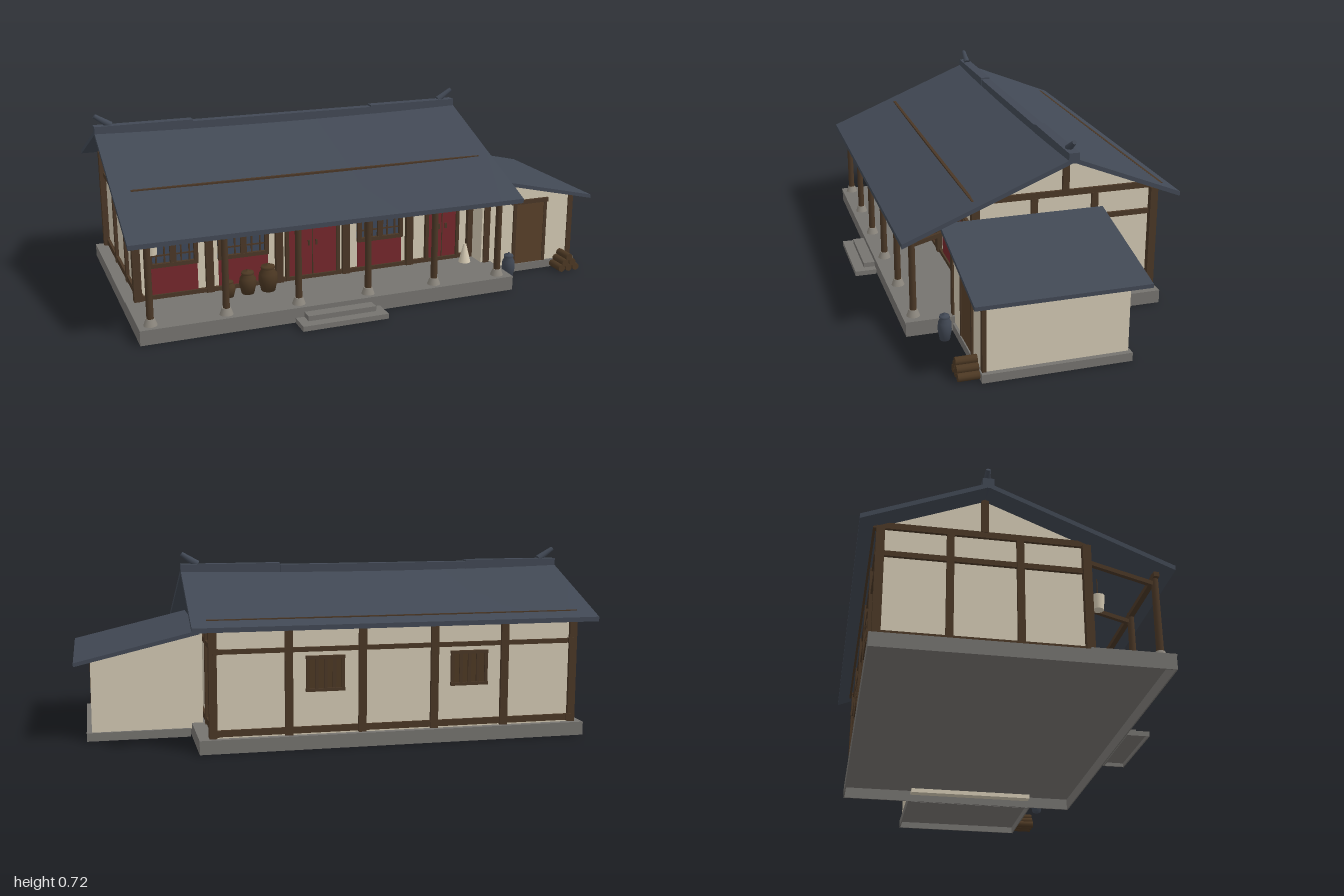
import * as THREE from 'three';

const mat = (name, color) => {
  const m = new THREE.MeshStandardMaterial({ color });
  m.name = name;
  return m;
};

export function createModel() {
  const root = new THREE.Group();
  root.name = 'farmhouse';
  const tile = mat('slate tile', 0x414854), plaster = mat('plaster', 0xd2c8b2);
  const timber = mat('dark timber', 0x4a3726), plank = mat('door plank', 0x573f29);
  const red = mat('red paint', 0x74272b), stone = mat('stone', 0x75736f);
  const pane = mat('window pane', 0x3d4757), clay = mat('clay', 0x4c3823);
  const cream = mat('straw', 0xd6cbb4), base = mat('column stone', 0x8c877e);

  const add = (name, geo, m, x = 0, y = 0, z = 0) => {
    const mesh = new THREE.Mesh(geo, m);
    mesh.name = name;
    mesh.position.set(x, y, z);
    root.add(mesh);
    return mesh;
  };
  // Box given by its limits
  const box = (name, m, x0, x1, y0, y1, z0, z1) =>
    add(name, new THREE.BoxGeometry(x1 - x0, y1 - y0, z1 - z0), m, (x0 + x1) / 2, (y0 + y1) / 2, (z0 + z1) / 2);
  const cyl = (name, m, r0, r1, h, x, y, z, n = 12) =>
    add(name, new THREE.CylinderGeometry(r1, r0, h, n), m, x, y + h / 2, z);
  // Flat polygon pushed out by a depth
  const prism = (pts, depth) => new THREE.ExtrudeGeometry(
    new THREE.Shape(pts.map(p => new THREE.Vector2(...p))), { depth, bevelEnabled: false });
  // Stone block open underneath: a top slab on thin kerbs
  const hollowBlock = (name, x0, x1, y0, y1, z0, z1) => {
    const t = 0.005;
    box(name + 'Top', stone, x0, x1, y1 - t, y1, z0, z1);
    for (const x of [x0, x1 - t]) box(name + 'Kerb', stone, x, x + t, y0, y1 - t, z0, z1);
    for (const z of [z0, z1 - t]) box(name + 'Kerb', stone, x0 + t, x1 - t, y0, y1 - t, z, z + t);
  };

  const postX = [-0.925, -0.641, -0.357, -0.072, 0.212, 0.497];
  const X0 = -0.915, X1 = 0.487;

  // Plinths and steps
  hollowBlock('plinth', -0.972, 0.55, 0, 0.053, -0.539, 0.495);
  box('verandaDeck', stone, -0.972, 0.55, 0.052, 0.059, 0.2, 0.498);
  hollowBlock('annexPlinth', 0.555, 0.957, 0, 0.033, -0.247, 0.315);
  hollowBlock('lowerStep', -0.385, -0.04, 0, 0.02, 0.498, 0.587);
  hollowBlock('upperStep', -0.35, -0.075, 0.02, 0.04, 0.498, 0.545);

  // Main walls with gables
  const body = prism([[-0.515, 0.05], [0.205, 0.05], [0.205, 0.495], [-0.15, 0.638], [-0.515, 0.491]], X1 - X0);
  body.rotateY(-Math.PI / 2).translate(X1, 0, 0);
  add('mainWalls', body, plaster);

  // Front and rear wall framing
  for (const x of postX) {
    box('frontPost', timber, x - 0.015, x + 0.015, 0.055, 0.48, 0.195, 0.225);
    box('rearPost', timber, x - 0.015, x + 0.015, 0.055, 0.48, -0.528, -0.498);
    // Veranda column, stone base and sloping tie
    cyl('column', timber, 0.0135, 0.0125, 0.305, x, 0.083, 0.455);
    cyl('columnBase', base, 0.027, 0.017, 0.028, x, 0.057, 0.455);
    const tie = box('verandaTie', timber, x - 0.008, x + 0.008, 0.374, 0.39, 0.21, 0.455);
    tie.rotation.x = 0.26;
  }
  const [A, B] = [X0 - 0.01, X1 + 0.01];
  for (const [y0, y1] of [[0.06, 0.085], [0.37, 0.388], [0.465, 0.482]])
    box('rearRail', timber, A, B, y0, y1, -0.523, -0.51);
  for (const [y0, y1] of [[0.058, 0.076], [0.36, 0.378], [0.46, 0.482]])
    box('frontRail', timber, A, B, y0, y1, 0.2, 0.218);
  box('eaveBeam', timber, -0.95, 0.53, 0.37, 0.388, 0.445, 0.465);

  // Gable framing on both ends
  for (const x of [X0, X1]) {
    const [a, b] = [x - 0.013, x + 0.013];
    for (const [y0, y1] of [[0.06, 0.085], [0.37, 0.39], [0.478, 0.502]])
      box('gableRail', timber, a + 0.002, b - 0.002, y0, y1, -0.53, 0.225);
    for (const z of [-0.27, -0.025])
      box('gablePost', timber, a, b, 0.055, 0.48, z - 0.013, z + 0.013);
    box('kingPost', timber, a, b, 0.5, 0.636, -0.163, -0.137);
  }

  // Main roof: each slope is a slab whose ridge sags a little mid-length
  const slope = (name, zEave, yEave) => {
    const g = new THREE.BoxGeometry(1.577, 0.018, 1, 12, 1, 1);
    const p = g.attributes.position;
    for (let i = 0; i < p.count; i++) {
      const eave = zEave > 0 ? p.getZ(i) > 0 : p.getZ(i) < 0;
      const sag = 0.012 * (1 - (p.getX(i) / 0.7885) ** 2);
      p.setY(i, p.getY(i) - 0.009 + (eave ? yEave : 0.655 - sag));
      p.setZ(i, eave ? zEave : -0.15);
    }
    g.computeVertexNormals();
    add(name, g, tile, -0.2115);
  };
  slope('frontRoof', 0.507, 0.388);
  slope('rearRoof', -0.588, 0.479);
  // Purlins just breaking the roof surface
  box('frontPurlin', timber, -0.93, 0.52, 0.475, 0.5045, 0.216, 0.228);
  box('rearPurlin', timber, -0.93, 0.52, 0.475, 0.502, -0.539, -0.53);

  // Ridge with raised ends and upswept finials
  box('ridgeMiddle', tile, -0.605, 0.18, 0.63, 0.668, -0.17, -0.13);
  for (const s of [-1, 1]) {
    const cx = -0.2115;
    const a = cx + s * 0.392, b = cx + s * 0.7885;
    box('ridgeEnd', tile, Math.min(a, b), Math.max(a, b), 0.635, 0.675, -0.171, -0.129);
    const f = cyl('finial', tile, 0.015, 0.009, 0.075, cx + s * 0.753, 0.657, -0.15, 8);
    f.rotation.z = -s * 0.98;
  }

  // Annex walls, roof and posts
  add('annexWalls', prism([[0.505, 0.03], [0.937, 0.03], [0.937, 0.315], [0.505, 0.418]], 0.542), plaster, 0, 0, -0.237);
  add('annexRoof', prism([[0.52, 0.414], [1, 0.303], [1, 0.318], [0.52, 0.43]], 0.646), tile, 0, 0, -0.293);
  box('annexPost', timber, 0.918, 0.941, 0.03, 0.318, 0.295, 0.31);
  box('annexPost', timber, 0.513, 0.54, 0.055, 0.33, 0.295, 0.312);

  // Annex door
  box('annexDoor', plank, 0.665, 0.797, 0.032, 0.295, 0.3, 0.31);
  for (const x of [0.652, 0.797])
    box('annexDoorJamb', timber, x, x + 0.014, 0.032, 0.3, 0.3, 0.313);
  box('annexDoorLintel', timber, 0.643, 0.815, 0.297, 0.315, 0.3, 0.315);

  // Rectangular frame on the front wall
  const frame = (name, x0, x1, y0, y1, t) => {
    for (const x of [x0, x1 - t]) box(name, timber, x, x + t, y0, y1, 0.2, 0.222);
    for (const y of [y0, y1 - t]) box(name, timber, x0, x1, y, y + t, 0.2, 0.222);
  };
  // Lattice windows over red panels
  for (const [x0, x1] of [[-0.88, -0.685], [-0.605, -0.4], [-0.02, 0.18]]) {
    box('windowPane', pane, x0, x1, 0.19, 0.358, 0.2, 0.209);
    frame('windowFrame', x0, x1, 0.186, 0.36, 0.016);
    const mid = (x0 + x1) / 2, w = (x1 - x0) / 6;
    box('windowMullion', timber, mid - 0.012, mid + 0.012, 0.19, 0.358, 0.2, 0.22);
    for (const k of [1, 2, 4, 5])
      box('latticeBar', timber, x0 + k * w - 0.003, x0 + k * w + 0.003, 0.19, 0.358, 0.2, 0.214);
    for (const y of [0.232, 0.274, 0.316])
      box('latticeBar', timber, x0, x1, y - 0.003, y + 0.003, 0.2, 0.213);
    box('redPanel', red, x0 + 0.002, x1 - 0.002, 0.076, 0.186, 0.2, 0.211);
  }
  // Red doors
  for (const [x0, x1] of [[-0.33, -0.1], [0.286, 0.442]]) {
    frame('doorFrame', x0, x1, 0.062, 0.372, 0.014);
    const mid = (x0 + x1) / 2;
    box('redDoor', red, x0 + 0.01, x1 - 0.01, 0.07, 0.365, 0.2, 0.214);
    box('doorGap', timber, mid - 0.002, mid + 0.002, 0.075, 0.36, 0.21, 0.216);
    for (const s of [-1, 1])
      box('doorHandle', timber, mid + s * 0.016 - 0.004, mid + s * 0.016 + 0.004, 0.2, 0.222, 0.21, 0.221);
  }

  // Barred rear windows
  for (const x of [0.072, -0.497]) {
    box('rearPane', clay, x - 0.07, x + 0.07, 0.225, 0.35, -0.519, -0.51);
    for (const k of [-2, -1, 0, 1, 2])
      box('rearWindowBar', timber, x + k * 0.034 - 0.006, x + k * 0.034 + 0.006, 0.22, 0.352, -0.526, -0.51);
    for (const y of [0.218, 0.342])
      box('rearWindowRail', timber, x - 0.075, x + 0.075, y, y + 0.012, -0.528, -0.51);
  }

  // Storage jars
  const jar = (m, x, y, z, r, h) => add('jar', new THREE.LatheGeometry(
    [[0, 0], [0.72, 0], [1, 0.4], [0.95, 0.65], [0.65, 0.8], [0.76, 0.84], [0.7, 0.92], [0.16, 0.93], [0.16, 1], [0, 1]]
      .map(p => new THREE.Vector2(p[0] * r, p[1] * h)), 14), m, x, y, z);
  jar(clay, -0.587, 0.058, 0.29, 0.026, 0.07);
  jar(clay, -0.507, 0.058, 0.28, 0.034, 0.097);
  jar(clay, -0.424, 0.058, 0.28, 0.038, 0.112);
  jar(tile, 0.607, 0, 0.36, 0.027, 0.108);

  // Firewood stack
  for (let row = 0; row < 3; row++)
    for (let i = 0; i < 3 - row; i++) {
      const log = add('firewood', new THREE.CylinderGeometry(0.0155, 0.0155, 0.08, 10), clay,
        0.885 + (i - (2 - row) / 2) * 0.034, 0.0155 + row * 0.023, 0.354);
      log.rotation.x = Math.PI / 2;
    }

  // Hanging basket, chilli strings and a straw bundle
  cyl('hangingBasket', cream, 0.02, 0.026, 0.055, -0.872, 0.258, 0.26);
  cyl('basketCord', timber, 0.002, 0.002, 0.07, -0.872, 0.313, 0.26, 6);
  for (const x of [-0.685, -0.028])
    for (let i = 0; i < 5; i++) {
      const c = cyl('chilli', red, 0.003, 0.011, 0.03, x + (i % 2 ? 0.005 : -0.005), 0.275 + i * 0.015, 0.237, 6);
      c.rotation.z = i % 2 ? 0.3 : -0.3;
    }
  cyl('strawBundle', cream, 0.026, 0.006, 0.08, 0.446, 0.058, 0.27, 10);

  return root;
}
